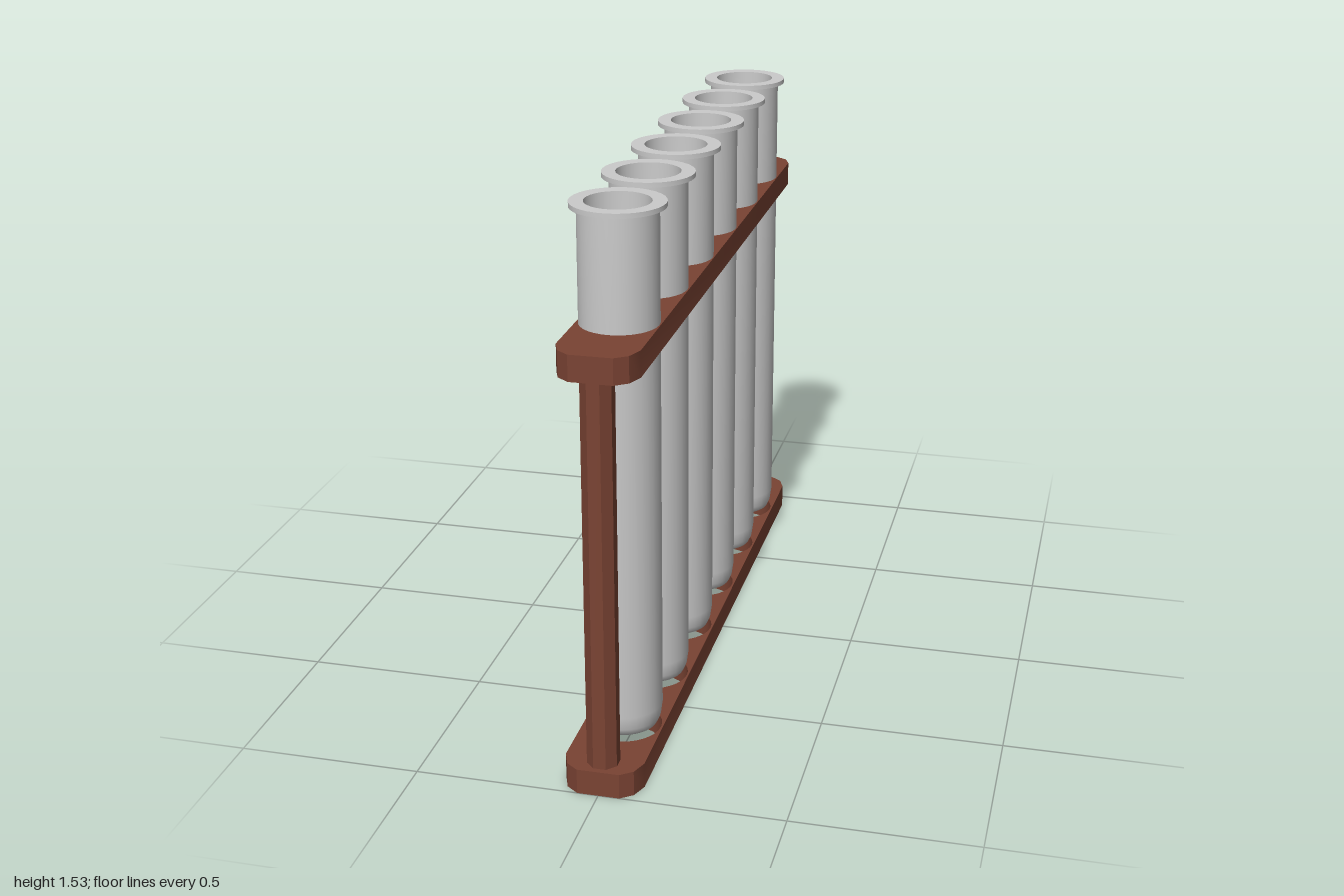
import * as THREE from 'three';
import { toCreasedNormals } from 'three/addons/utils/BufferGeometryUtils.js';

const HOLE_R = 0.102, PLATE_H = 0.07;
const LIQUIDS = [0x00ff00, 0xcd4d60, 0xc44bd0, 0x54bfcf, 0xbcb847, 0xff0808]; // back to front
const tubeZ = (i) => -0.737 + i * 0.2948;

// Long plate with cut corners and one hole per tube, top face at y = 0
function plateGeometry() {
  const corner = [[0.107, 0.93], [0.09, 0.975], [0.057, 1]];
  const back = [...corner].reverse();
  const outline = [
    ...corner,
    ...back.map(([x, z]) => [-x, z]),
    ...corner.map(([x, z]) => [-x, -z]),
    ...back.map(([x, z]) => [x, -z]),
  ];
  const shape = new THREE.Shape(outline.map(([x, z]) => new THREE.Vector2(x, z)));
  for (let i = 0; i < LIQUIDS.length; i++) {
    shape.holes.push(new THREE.Path().absarc(0, tubeZ(i), HOLE_R, 0, Math.PI * 2, true));
  }
  const geo = new THREE.ExtrudeGeometry(shape, { depth: PLATE_H, bevelEnabled: false, curveSegments: 16 });
  geo.rotateX(Math.PI / 2);
  return toCreasedNormals(geo, 0.4);
}

// Hollow tube: rounded foot, flared flat rim, inner wall and floor
function tubeGeometry() {
  const profile = [
    [0, 0.074], [0.075, 0.074], [0.09, 0.083], [0.099, 0.103], [0.104, 0.14],
    [0.104, 1.517], [0.123, 1.517], [0.123, 1.53], [0.086, 1.53],
    [0.086, 0.14], [0.08, 0.11], [0.065, 0.094], [0, 0.094],
  ].map(([r, y]) => new THREE.Vector2(r, y));
  return toCreasedNormals(new THREE.LatheGeometry(profile, 32), 0.7);
}

export function createModel() {
  const group = new THREE.Group();
  const wood = new THREE.MeshStandardMaterial({ color: 0x7a4333 });
  const glass = new THREE.MeshStandardMaterial({ color: 0xcccccc });
  const add = (name, geo, mat, x, y, z) => {
    const mesh = new THREE.Mesh(geo, mat);
    mesh.name = name;
    mesh.position.set(x, y, z);
    group.add(mesh);
  };

  // Rack plates
  const plate = plateGeometry();
  add('basePlate', plate, wood, 0, PLATE_H, 0);
  add('upperPlate', plate, wood, 0, 1.215, 0);

  // Eight-sided end posts
  const post = toCreasedNormals(new THREE.CylinderGeometry(0.044, 0.044, 1.1, 8), 0.4);
  post.rotateY(Math.PI / 8);
  add('frontPost', post, wood, 0, 0.61, 0.943);
  add('backPost', post, wood, 0, 0.61, -0.943);

  // Test tubes, each holding a coloured liquid
  const tube = tubeGeometry();
  const liquid = new THREE.CylinderGeometry(0.0855, 0.075, 0.4, 32);
  LIQUIDS.forEach((color, i) => {
    add(`testTube${i + 1}`, tube, glass, 0, 0, tubeZ(i));
    add(`liquid${i + 1}`, liquid, new THREE.MeshStandardMaterial({ color }), 0, 0.31, tubeZ(i));
  });
  return group;
}
